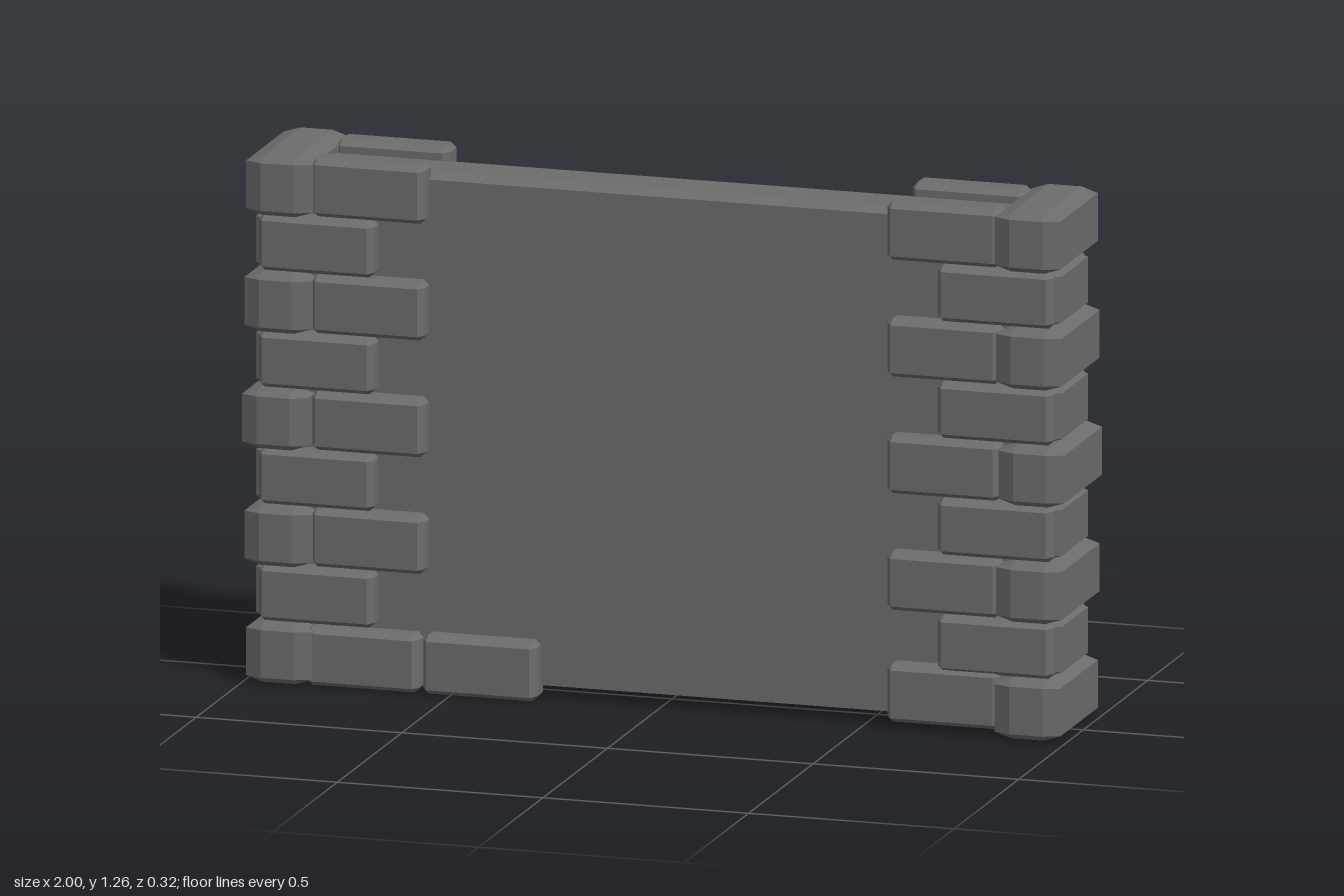
import * as THREE from 'three';
import { ConvexGeometry } from 'three/addons/geometries/ConvexGeometry.js';

const stone = new THREE.MeshStandardMaterial({ color: 0x6c6c6c });
stone.name = 'grey stone';

// Box between two corners, with every edge cut by its own bevel per axis
function bevelledBox(name, min, max, bevel) {
  const half = min.map((v, i) => (max[i] - v) / 2);
  const points = [];
  for (const sx of [-1, 1]) for (const sy of [-1, 1]) for (const sz of [-1, 1]) {
    for (let face = 0; face < 3; face++) {
      const p = half.map((h, i) => (i === face ? h : h - bevel[i]));
      points.push(new THREE.Vector3(p[0] * sx, p[1] * sy, p[2] * sz));
    }
  }
  const mesh = new THREE.Mesh(new ConvexGeometry(points), stone);
  mesh.name = name;
  mesh.position.set(...min.map((v, i) => (v + max[i]) / 2));
  return mesh;
}

export function createModel() {
  const model = new THREE.Group();
  model.name = 'wallSection';

  // Plain slab in the middle
  model.add(bevelledBox('wallSlab', [-0.92, 0.027, -0.092], [0.92, 1.237, 0.092], [0.02, 0.011, 0.045]));

  // A pair of flat stones, one on each face of the wall
  const facePair = (name, x0, x1, y0, y1) => {
    const a = Math.min(x0, x1), b = Math.max(x0, x1);
    model.add(bevelledBox(name + 'Front', [a, y0, 0.053], [b, y1, 0.143], [0.013, 0.013, 0.023]));
    model.add(bevelledBox(name + 'Back', [a, y0, -0.143], [b, y1, -0.053], [0.013, 0.013, 0.023]));
  };

  // Stone that caps the end of a course
  const endStone = (name, x0, x1, y0, y1, z) => {
    const a = Math.min(x0, x1), b = Math.max(x0, x1);
    model.add(bevelledBox(name, [a, y0, -z], [b, y1, z], [0.04, 0.013, 0.016]));
  };

  // Alternating courses of corner stones up both ends
  const outer = [0.99, 0.994, 1.0, 0.994, 0.99];
  for (const side of [-1, 1]) {
    const label = side > 0 ? 'left' : 'right';
    for (let row = 0; row < 9; row++) {
      const y0 = 0.01 + row * 0.1395;
      if (row % 2 === 0) {
        const x = outer[row / 2];
        endStone(label + 'LongEndStone', side * (x - 0.16), side * x, y0, y0 + 0.14, 0.162);
        const base = row === 0 ? (side > 0 ? 0.012 : -0.005) : 0;
        const inner = row === 0 && side < 0 ? 0.575 : 0.562;
        facePair(label + 'LongFaceStone', side * inner, side * (inner + 0.275), y0 + base, y0 + base + 0.14);
      } else {
        endStone(label + 'ShortEndStone', side * 0.82, side * 0.98, y0 + 0.002, y0 + 0.137, 0.118);
        facePair(label + 'ShortFaceStone', side * 0.685, side * 0.966, y0 + 0.002, y0 + 0.137);
      }
    }
  }

  // Extra stones at the foot of one end
  facePair('footStone', -0.567, -0.29, 0.005, 0.147);

  return model;
}
